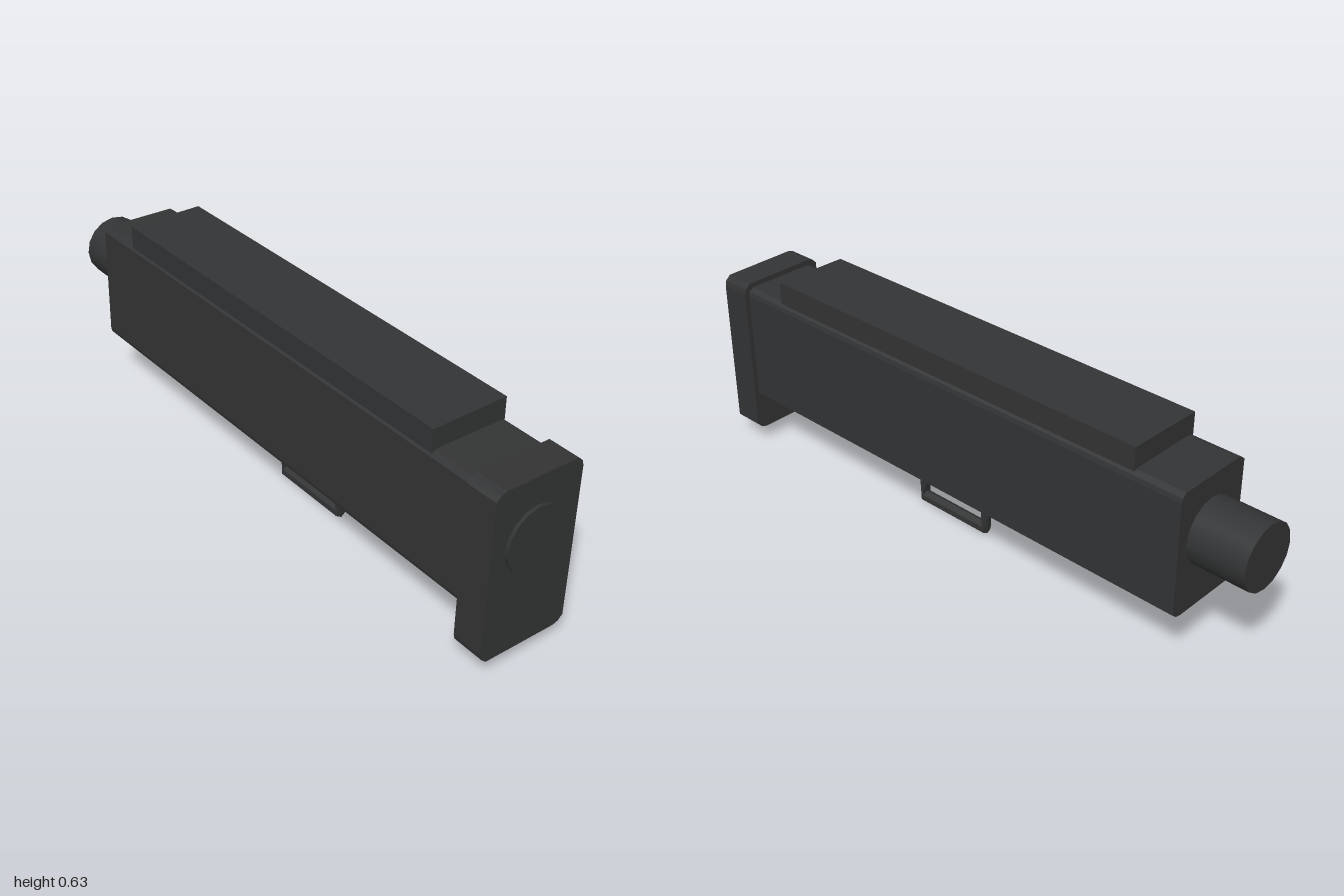
import * as THREE from 'three';

const material = new THREE.MeshStandardMaterial({ color: 0x333435, flatShading: true });
const smooth = new THREE.MeshStandardMaterial({ color: 0x333435 });

// Half of the slightly skewed rounded outline; the other half is its half turn
const HALF = [[0.15, 0.229], [0.146, 0.247], [0.13, 0.262], [-0.112, 0.267], [-0.13, 0.262], [-0.145, 0.247]];

function outlineBlock(sx, sy, centreY, zBack, zFront) {
  const points = [1, -1].flatMap(s => HALF.map(([x, y]) => new THREE.Vector2(s * x * sx, s * y * sy)));
  const geometry = new THREE.ExtrudeGeometry(new THREE.Shape(points), { depth: zFront - zBack, bevelEnabled: false });
  return geometry.translate(0, centreY, zBack);
}

// Hexagonal bar bent into a U, each ring spanning an inner and an outer point [z, y]
function handleGeometry() {
  const rings = [
    { inner: [0.115, 0.105], outer: [0.147, 0.105] },
    { inner: [0.126, 0.04], outer: [0.136, 0.003] },
    { inner: [-0.126, 0.04], outer: [-0.136, 0.003] },
    { inner: [-0.115, 0.105], outer: [-0.147, 0.105] },
  ];
  const sides = 6, positions = [], index = [];
  for (const { inner, outer } of rings) {
    for (let j = 0; j < sides; j++) {
      const a = (j / sides) * Math.PI * 2;
      const t = (1 + Math.cos(a)) / 2;
      positions.push(
        0.0196 * Math.sin(a),
        THREE.MathUtils.lerp(inner[1], outer[1], t),
        THREE.MathUtils.lerp(inner[0], outer[0], t));
    }
  }
  for (let i = 0; i < rings.length - 1; i++) {
    for (let j = 0; j < sides; j++) {
      const a = i * sides + j, b = i * sides + (j + 1) % sides;
      index.push(a, a + sides, b, b, a + sides, b + sides);
    }
  }
  // End caps
  const last = (rings.length - 1) * sides;
  for (let j = 1; j < sides - 1; j++) {
    index.push(0, j, j + 1, last, last + j + 1, last + j);
  }
  const geometry = new THREE.BufferGeometry();
  geometry.setAttribute('position', new THREE.Float32BufferAttribute(positions, 3));
  geometry.setIndex(index);
  const flat = geometry.toNonIndexed();
  flat.computeVertexNormals();
  return flat.translate(0, 0, 0.107);
}

export function createModel() {
  const model = new THREE.Group();
  model.name = 'model';
  const add = (name, geometry, mat = material) => {
    const mesh = new THREE.Mesh(geometry, mat);
    mesh.name = name;
    model.add(mesh);
  };

  // Long housing and the taller plate at its front
  add('body', outlineBlock(0.9, 0.742, 0.3735, -0.82, 0.9));
  add('frontPlate', outlineBlock(1, 1, 0.322, 0.89, 0.99));

  // Rail along the top
  add('topRail', new THREE.BoxGeometry(0.248, 0.077, 1.4).translate(0, 0.5965, 0.04));

  // Barrel running through the full length
  add('barrel', new THREE.CylinderGeometry(0.1, 0.1, 2, 16).rotateX(Math.PI / 2).translate(0, 0.4, 0), smooth);

  // Small loop below the body
  add('lowerHandle', handleGeometry());

  return model;
}
